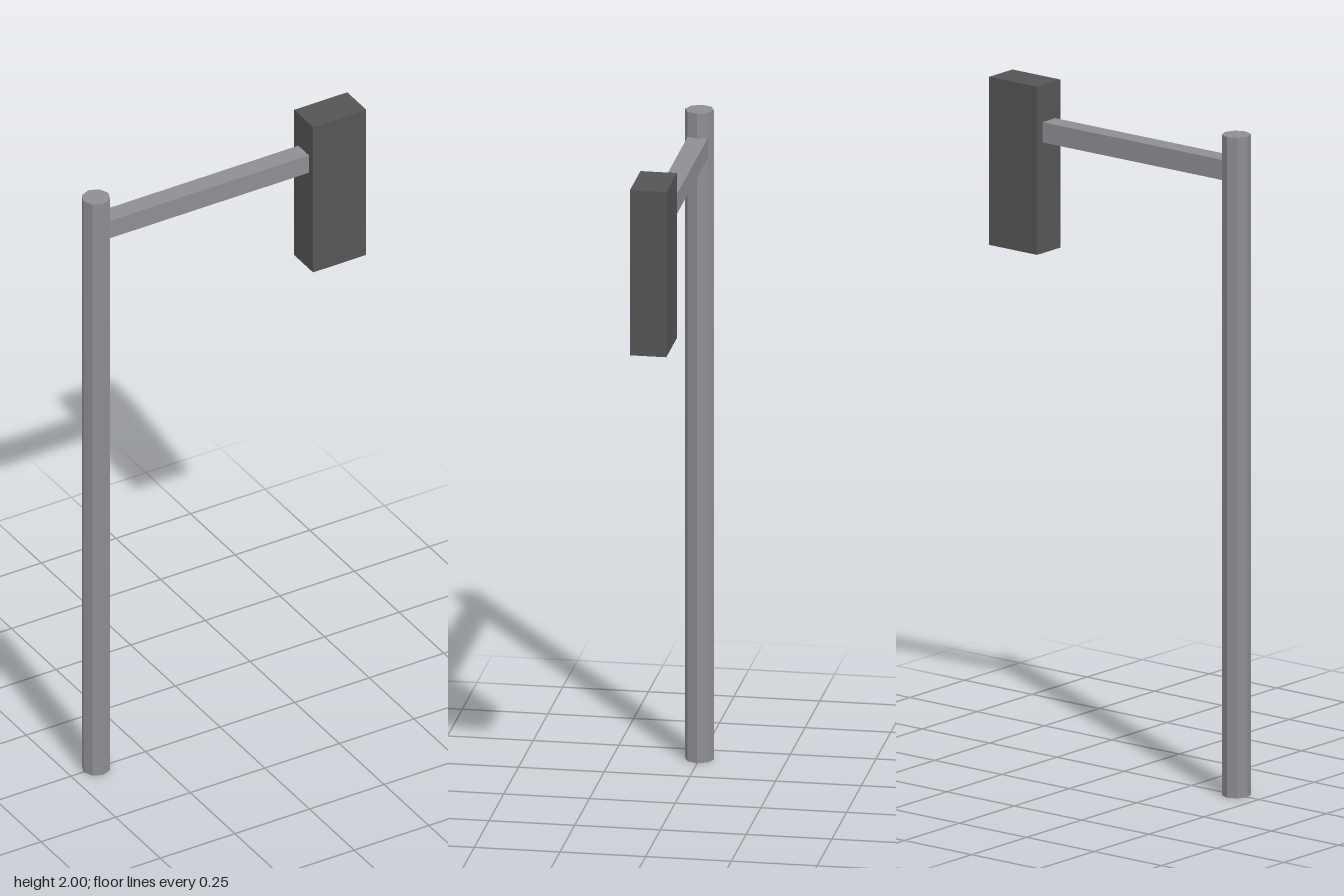
import * as THREE from 'three';

export function createModel() {
  const model = new THREE.Group();

  const material = (name, color) => {
    const m = new THREE.MeshStandardMaterial({ color, flatShading: true });
    m.name = name;
    return m;
  };
  const steelGrey = material('steelGrey', 0x8f8e94);
  const darkGrey = material('darkGrey', 0x555555);

  const add = (name, geometry, mat, x, y) => {
    const mesh = new THREE.Mesh(geometry, mat);
    mesh.name = name;
    mesh.position.set(x, y, 0);
    model.add(mesh);
  };

  // Eight-sided upright pole
  add('pole', new THREE.CylinderGeometry(0.042, 0.042, 1.965, 8), steelGrey, -0.416, 0.9825);

  // Horizontal arm, running from inside the pole to the head
  const armStart = -0.39, armEnd = 0.29;
  add('arm', new THREE.BoxGeometry(armEnd - armStart, 0.06, 0.059), steelGrey, (armStart + armEnd) / 2, 1.86);

  // Box-shaped signal head
  add('signalHead', new THREE.BoxGeometry(0.178, 0.5, 0.106), darkGrey, 0.369, 1.75);

  return model;
}
